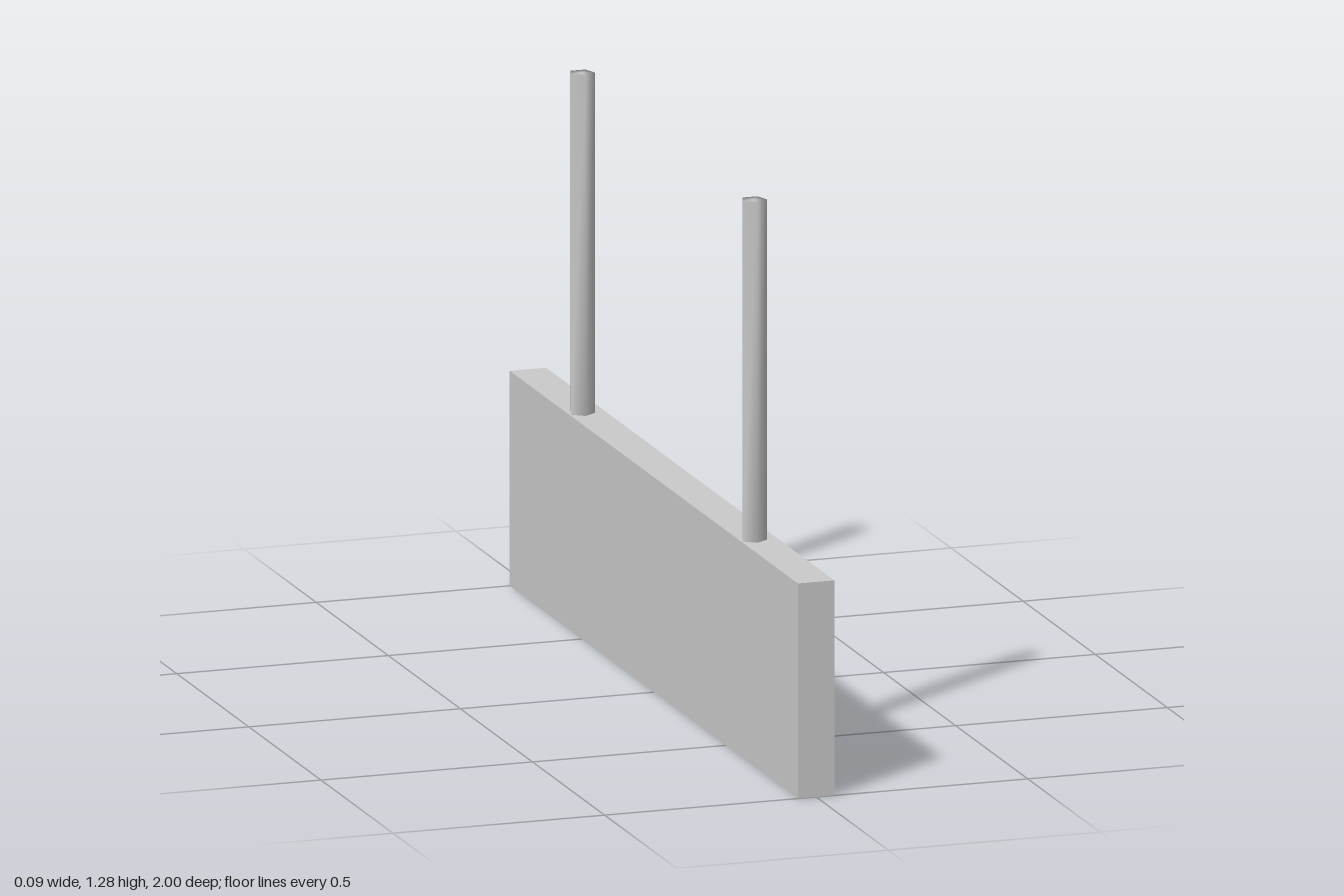
import * as THREE from 'three';
import { mergeVertices } from 'three/addons/utils/BufferGeometryUtils.js';

const BOARD_HEIGHT = 0.497;
const TOP = 1.283;

// Five-sided post with normals shared between sides and caps
function postGeometry(radius, height) {
  const geometry = new THREE.CylinderGeometry(radius, radius, height, 5);
  geometry.deleteAttribute('normal');
  geometry.deleteAttribute('uv');
  const smooth = mergeVertices(geometry);
  smooth.computeVertexNormals();
  return smooth;
}

export function createModel() {
  const group = new THREE.Group();
  const material = new THREE.MeshStandardMaterial({ color: 0xcccccc });

  // Sign board
  const board = new THREE.Mesh(new THREE.BoxGeometry(0.086, BOARD_HEIGHT, 2), material);
  board.name = 'board';
  board.position.y = BOARD_HEIGHT / 2;
  group.add(board);

  // Two hanging posts standing on the board's top edge
  const height = TOP - BOARD_HEIGHT;
  const geometry = postGeometry(0.03, height);
  for (const [name, z] of [['frontPost', 0.598], ['backPost', -0.594]]) {
    const post = new THREE.Mesh(geometry, material);
    post.name = name;
    post.position.set(-0.011, BOARD_HEIGHT + height / 2, z);
    group.add(post);
  }
  return group;
}
